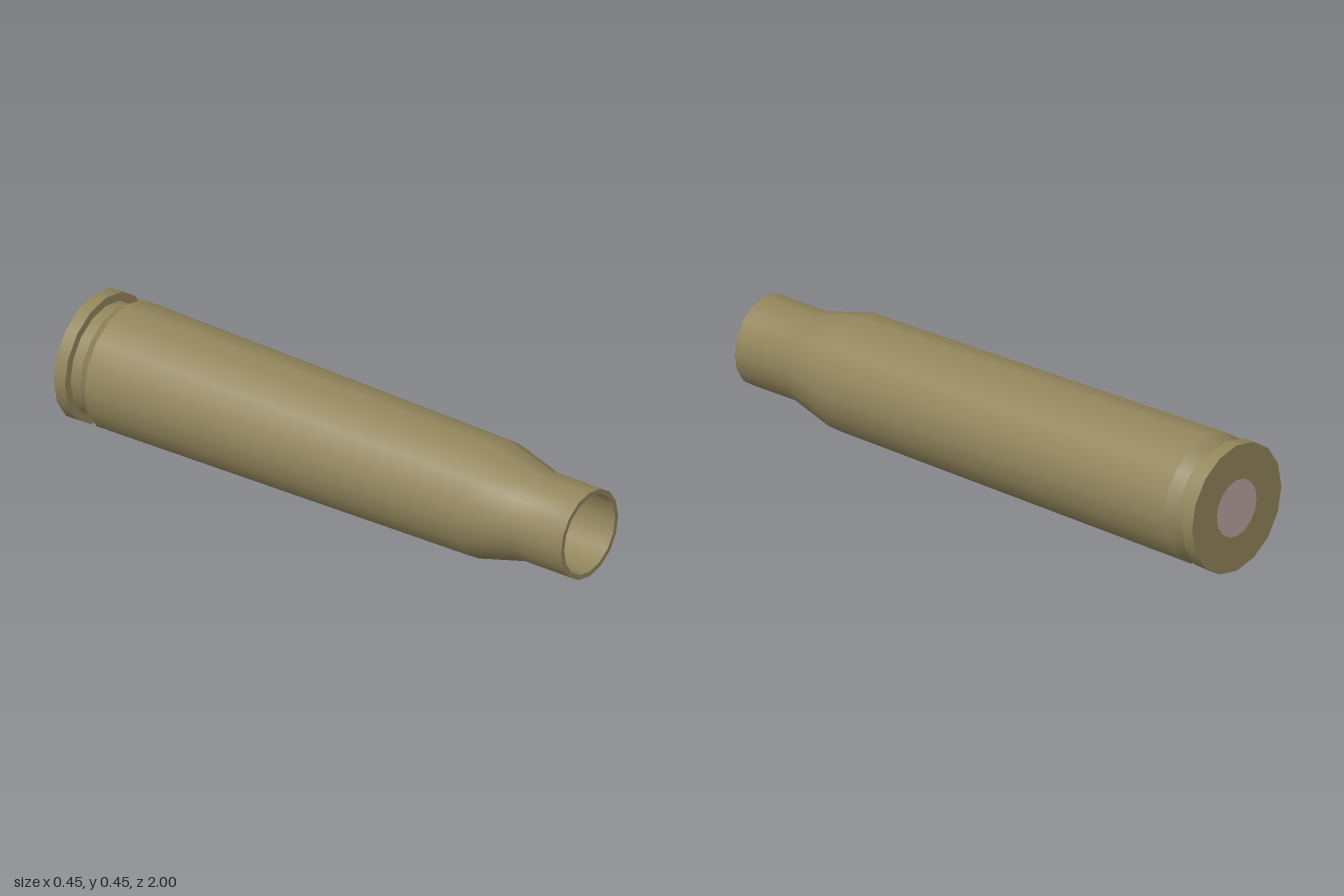
import * as THREE from 'three';

const SIDES = 16;
const RADIUS = 0.224;

export function createModel() {
  const model = new THREE.Group();
  model.name = 'cartridgeCase';

  const brass = new THREE.MeshStandardMaterial({ color: 0x92855c });
  brass.name = 'brass';
  const primerMetal = new THREE.MeshStandardMaterial({ color: 0xb8a59f });
  primerMetal.name = 'primer metal';

  // Revolves a [radius, z] profile about the long axis; smooth within a profile.
  function turned(name, profile, material = brass) {
    const points = profile.map(([r, z]) => new THREE.Vector2(r, z));
    const geometry = new THREE.LatheGeometry(points, SIDES);
    geometry.rotateX(Math.PI / 2);
    geometry.translate(0, RADIUS, 0);
    const mesh = new THREE.Mesh(geometry, material);
    mesh.name = name;
    model.add(mesh);
  }

  // Base with the primer set flush in its middle
  turned('primer', [[0, -1], [0.1, -1]], primerMetal);
  turned('baseFace', [[0.1, -1], [RADIUS, -1]]);

  // Rim and extractor groove
  turned('rimEdge', [[RADIUS, -1], [RADIUS, -0.955]]);
  turned('rimFront', [[RADIUS, -0.955], [0.194, -0.955]]);
  turned('extractorGroove', [[0.194, -0.955], [0.194, -0.915]]);
  turned('grooveBevel', [[0.194, -0.915], [0.222, -0.877]]);

  // Tapered body, shoulder and neck
  turned('body', [[0.222, -0.877], [0.201, 0.61], [0.155, 0.79], [0.155, 1]]);

  // Open mouth and hollow inside
  turned('mouthLip', [[0.155, 1], [0.138, 1]]);
  turned('boreWall', [[0.138, 1], [0.138, 0.3]]);
  turned('boreFloor', [[0.138, 0.3], [0, 0.3]]);

  return model;
}
